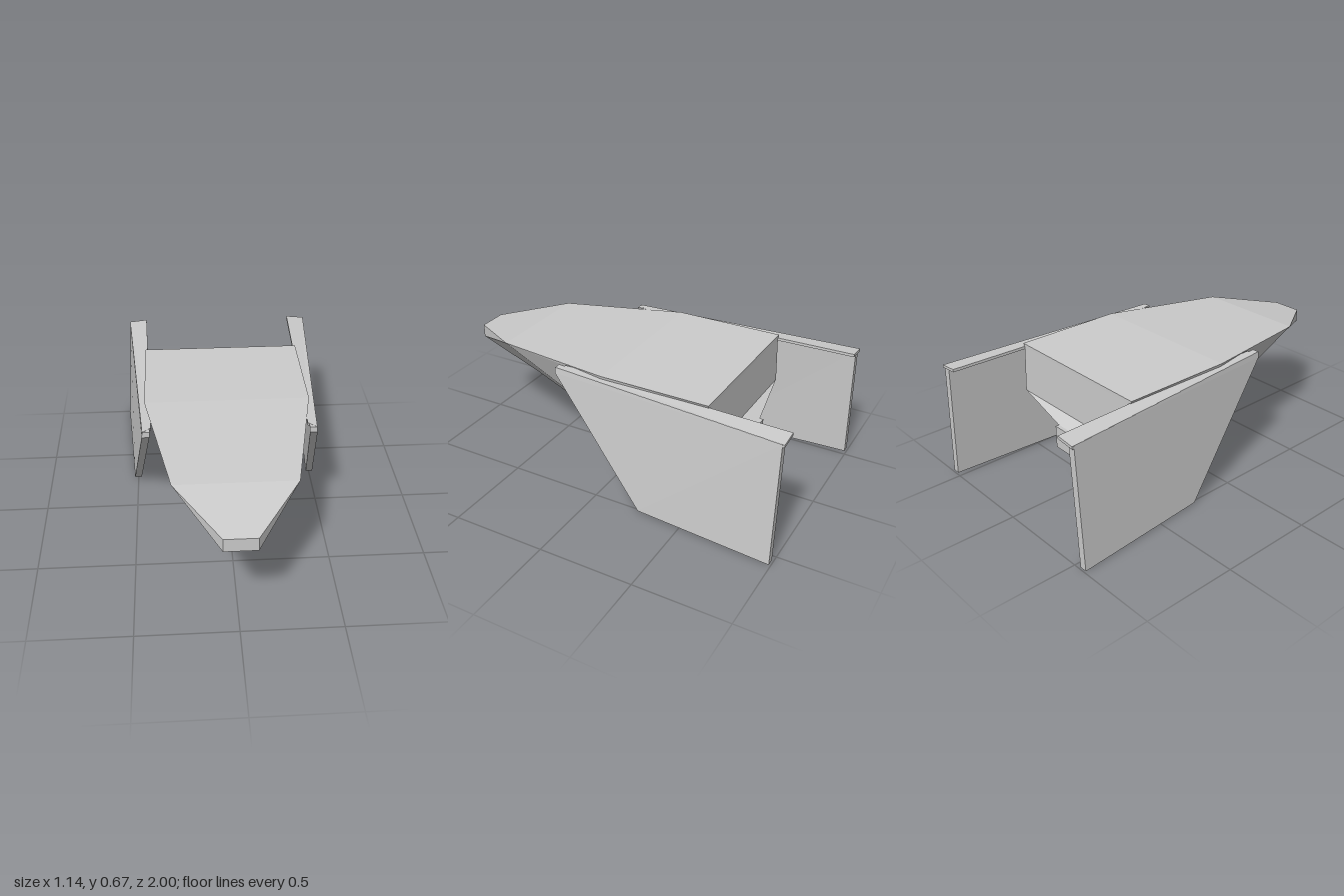
import * as THREE from 'three';

const material = new THREE.MeshStandardMaterial({ color: 0xcccccc, flatShading: true });

const flip = ([x, y, z]) => [-x, y, z];

// Mesh from flat polygons, each one turned to face away from the inner point
function facetedMesh(name, faces, inner) {
  const centre = new THREE.Vector3(...inner);
  const positions = [];
  for (const face of faces) {
    for (let i = 1; i < face.length - 1; i++) {
      const [a, b, c] = [face[0], face[i], face[i + 1]].map(p => new THREE.Vector3(...p));
      const normal = b.clone().sub(a).cross(c.clone().sub(a));
      const middle = a.clone().add(b).add(c).divideScalar(3).sub(centre);
      const tri = normal.dot(middle) < 0 ? [a, c, b] : [a, b, c];
      tri.forEach(p => positions.push(p.x, p.y, p.z));
    }
  }
  const geometry = new THREE.BufferGeometry();
  geometry.setAttribute('position', new THREE.Float32BufferAttribute(positions, 3));
  geometry.computeVertexNormals();
  const mesh = new THREE.Mesh(geometry, material);
  mesh.name = name;
  return mesh;
}

// Solid between two matching outlines
function prism(name, outer, inner) {
  const faces = [outer, inner];
  outer.forEach((p, i) => {
    const j = (i + 1) % outer.length;
    faces.push([p, outer[j], inner[j], inner[i]]);
  });
  const all = [...outer, ...inner];
  const centre = [0, 1, 2].map(k => all.reduce((s, p) => s + p[k], 0) / all.length);
  return facetedMesh(name, faces, centre);
}

function createHull() {
  // Deck edge, from nose to stern
  const nose = [0.08, 0.57, 1], shoulder = [0.30, 0.63, 0.67];
  const deckMid = [0.43, 0.67, 0], deckRear = [0.43, 0.67, -0.585];
  // Underside of the deck lip
  const lipMid = [0.425, 0.65, 0], lipRear = [0.42, 0.65, -0.585];
  // Belly edge, from nose to stern
  const chin = [0.08, 0.50, 1], throat = [0.13, 0.40, 0.60], belly = [0.25, 0.30, 0.08];
  const chine = [0.43, 0.40, -0.59], tail = [0.06, 0.37, -0.655];

  // Faces of one side
  const side = [
    [nose, chin, shoulder],
    [shoulder, chin, throat, belly],
    [shoulder, belly, lipMid],
    [shoulder, lipMid, deckMid],
    [deckMid, lipMid, lipRear, deckRear],
    [lipMid, belly, chine],
    [lipMid, chine, lipRear],
    [belly, tail, chine],
  ];
  // Edges joined straight across to the other side
  const spans = [
    [nose, shoulder], [shoulder, deckMid], [deckMid, deckRear], [deckRear, lipRear],
    [lipRear, chine], [chine, tail], [tail, belly], [belly, throat], [throat, chin], [chin, nose],
  ].map(([a, b]) => [a, b, flip(b), flip(a)]);

  return facetedMesh('hull', [...side, ...side.map(f => f.map(flip)), ...spans], [0, 0.5, -0.1]);
}

function createKeel() {
  const profile = [[0.36, -0.04], [0.31, -0.04], [0.22, -0.25], [0.25, -0.675], [0.37, -0.675]];
  const at = x => profile.map(([y, z]) => [x, y, z]);
  return prism('keel', at(0.055), at(-0.055));
}

function createWing(name, mirror) {
  const group = new THREE.Group();
  group.name = name;
  const place = points => (mirror ? points.map(flip) : points);

  // Splayed side plate
  const outer = [
    [0.53, 0.645, -0.99], [0.438, 0.655, 0.26], [0.441, 0.625, 0.26],
    [0.52, 0.01, -0.26], [0.57, 0.003, -0.99],
  ];
  const inner = outer.map(([x, y, z]) => [x - 0.038, y, z]);
  group.add(prism('wingPlate', place(outer), place(inner)));

  // Thin inward flange along the top edge
  const top = [[0.53, 0.646, -1], [0.43, 0.656, -1], [0.395, 0.656, 0.22], [0.438, 0.656, 0.26]];
  const under = top.map(([x, y, z]) => [x, y - 0.015, z]);
  group.add(prism('wingFlange', place(top), place(under)));
  return group;
}

export function createModel() {
  const model = new THREE.Group();
  model.name = 'spacecraft';
  model.add(createHull(), createKeel(), createWing('leftWing', false), createWing('rightWing', true));
  return model;
}
